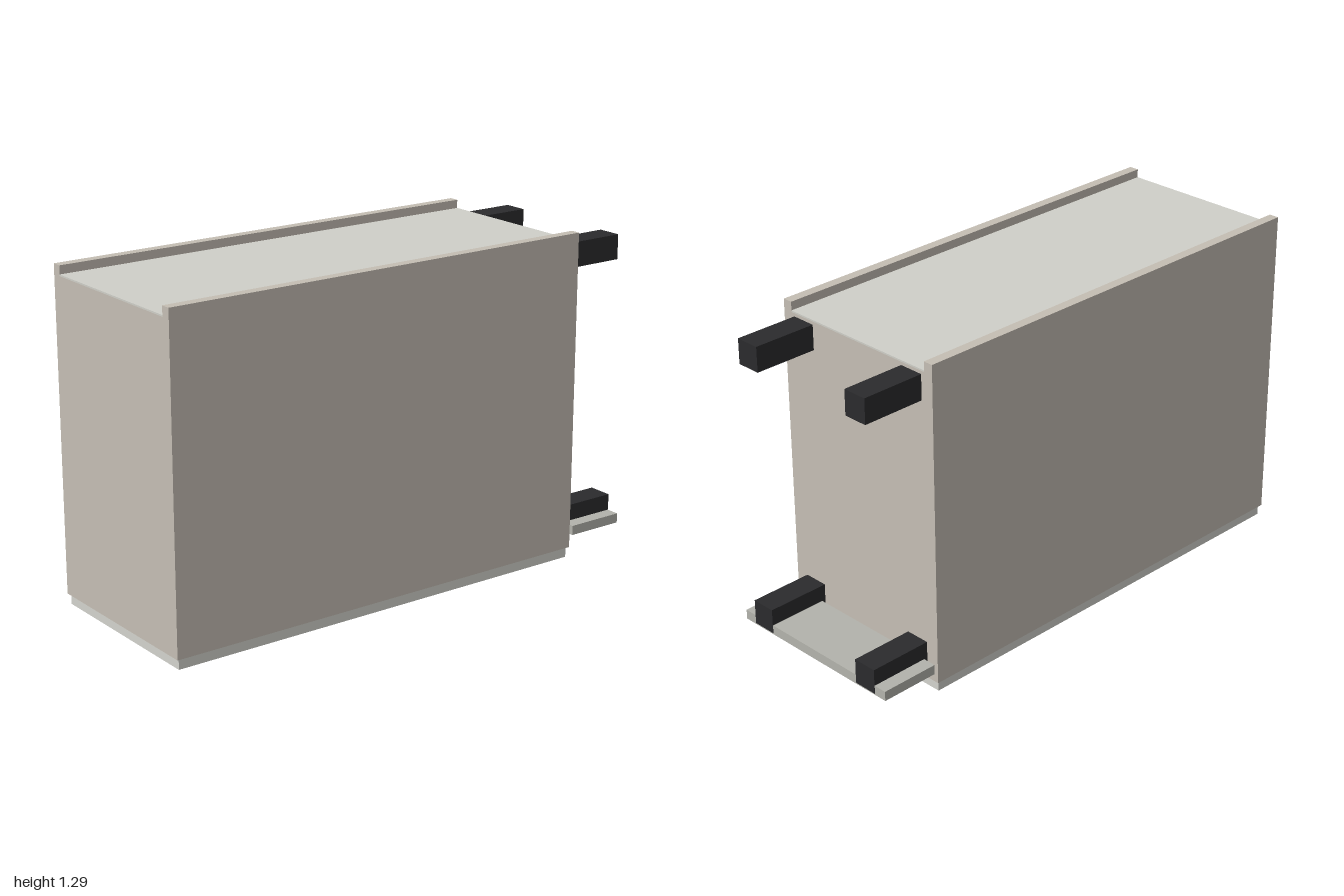
import * as THREE from 'three';

const material = (color) => new THREE.MeshStandardMaterial({ color });

// Box given by its min and max on each axis
function box(name, mat, [x0, x1], [y0, y1], [z0, z1]) {
  const mesh = new THREE.Mesh(new THREE.BoxGeometry(x1 - x0, y1 - y0, z1 - z0), mat);
  mesh.position.set((x0 + x1) / 2, (y0 + y1) / 2, (z0 + z1) / 2);
  mesh.name = name;
  return mesh;
}

export function createModel() {
  const model = new THREE.Group();
  model.name = 'cabinet';
  const bodyMat = material(0xc5beb4);
  const topMat = material(0xd0d0c9);
  const doorMat = material(0xd3d3cd);
  const shelfMat = material(0xb3b3ac);
  const footMat = material(0x2b2b2d);
  const handleMat = material(0x808084);

  // Body: a profile with raised rims along both long sides, extruded front to back
  const w = 0.367, inner = 0.329, bottom = 0.07, deck = 1.252, rim = 1.29;
  const profile = new THREE.Shape([
    [-w, bottom], [w, bottom], [w, rim], [inner, rim],
    [inner, deck], [-inner, deck], [-inner, rim], [-w, rim],
  ].map(([x, y]) => new THREE.Vector2(x, y)));
  const bodyGeometry = new THREE.ExtrudeGeometry(profile, { depth: 1.755, bevelEnabled: false });
  bodyGeometry.translate(0, 0, -0.755);
  const body = new THREE.Mesh(bodyGeometry, bodyMat);
  body.name = 'body';
  model.add(body);

  // Thin sheet lying between the rims
  model.add(box('topPanel', topMat, [-inner, inner], [deck, 1.258], [-0.755, 1]));

  // Slightly inset panel underneath, with its pull
  model.add(box('bottomPanel', doorMat, [-0.358, 0.358], [0.03, bottom], [-0.745, 0.99]));
  model.add(box('handle', handleMat, [-0.118, 0.118], [0, 0.03], [0.8, 0.826]));

  // Ledge behind the body, carried by the lower feet
  model.add(box('backLedge', shelfMat, [-w, w], [0.115, 0.152], [-0.999, -0.77]));

  // Four feet projecting from the back
  for (const [height, y] of [['upper', 1.145], ['lower', 0.12]]) {
    for (const [side, x] of [['Left', 0.22], ['Right', -0.315]]) {
      model.add(box(height + side + 'Foot', footMat, [x, x + 0.095], [y, y + 0.095], [-1, -0.755]));
    }
  }
  return model;
}
